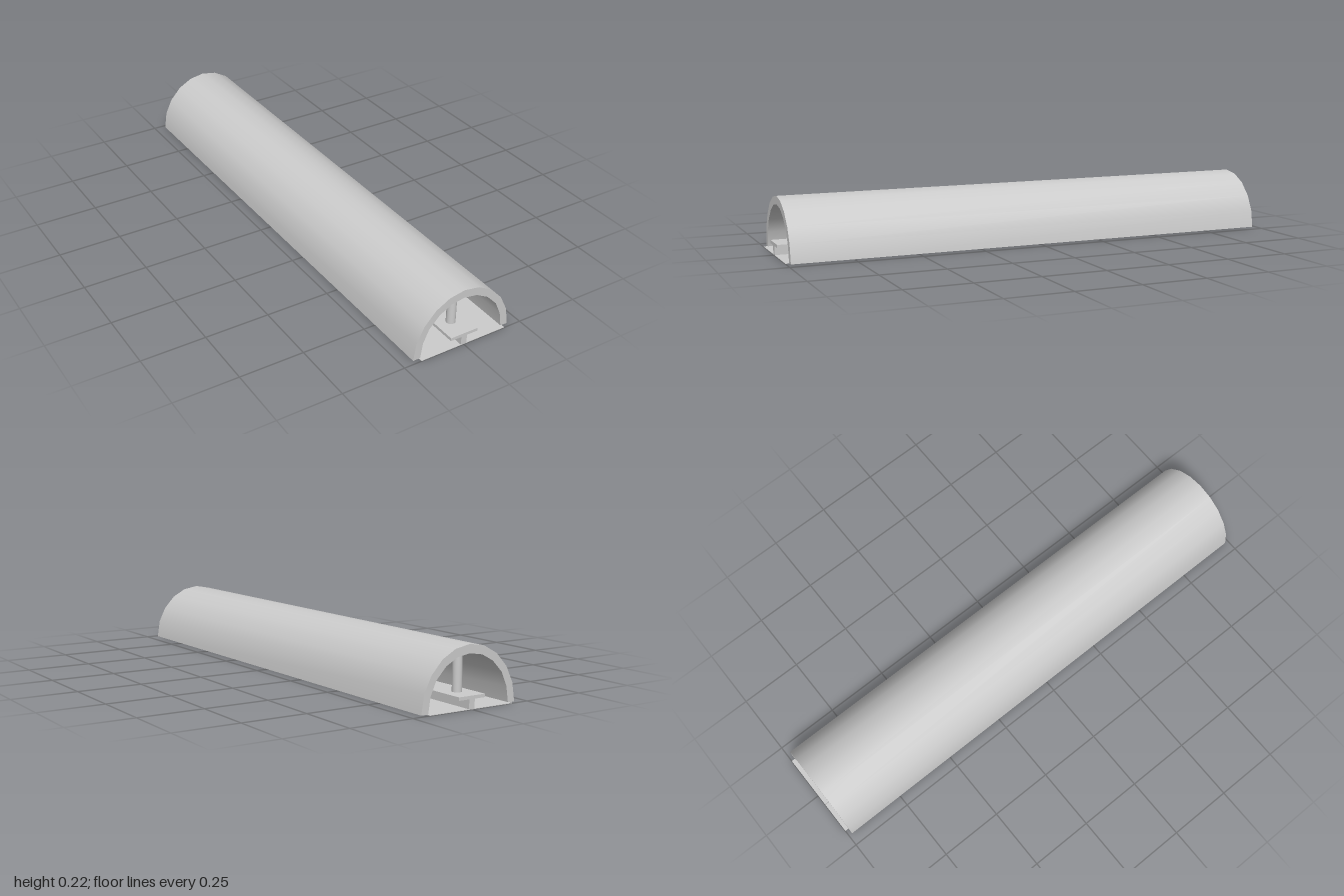
import * as THREE from 'three';
import { toCreasedNormals } from 'three/addons/utils/BufferGeometryUtils.js';

export function createModel() {
  const group = new THREE.Group();
  const material = new THREE.MeshStandardMaterial({ color: 0xcccccc });

  const add = (name, geometry, x, y, z) => {
    const mesh = new THREE.Mesh(geometry, material);
    mesh.name = name;
    mesh.position.set(x, y, z);
    group.add(mesh);
  };

  // Arched shell: ten-sided outer and inner curves, extruded along z
  const outer = [[0.204, 0.001], [0.193, 0.07], [0.164, 0.13], [0.118, 0.18], [0.062, 0.211], [0, 0.222]];
  const inner = [[0.175, 0.001], [0.166, 0.06], [0.143, 0.112], [0.102, 0.155], [0.054, 0.181], [0, 0.19]];
  const arch = (half) => [...half, ...half.slice(0, -1).reverse().map(([x, y]) => [-x, y])];
  const outline = [...arch(outer), ...arch(inner).reverse()].map(([x, y]) => new THREE.Vector2(x, y));
  const length = 1.97;
  const shell = new THREE.ExtrudeGeometry(new THREE.Shape(outline), { depth: length, bevelEnabled: false });
  add('archedShell', toCreasedNormals(shell, 0.6), 0, 0, -length / 2);

  // Thin floor, slightly longer than the shell
  add('floor', new THREE.BoxGeometry(0.36, 0.002, 2), 0, 0.001, 0);

  // T-shaped rail running the full length
  add('railStem', new THREE.BoxGeometry(0.024, 0.036, 2), 0, 0.018, 0);
  add('railFlange', new THREE.BoxGeometry(0.114, 0.012, 2), 0, 0.042, 0);

  // Round posts between the rail and the crown of the arch
  const posts = 5;
  for (let i = 0; i < posts; i++) {
    const z = -0.92 + (1.84 * i) / (posts - 1);
    add('post', new THREE.CylinderGeometry(0.0175, 0.0175, 0.147, 24), 0, 0.1195, z);
  }
  return group;
}
